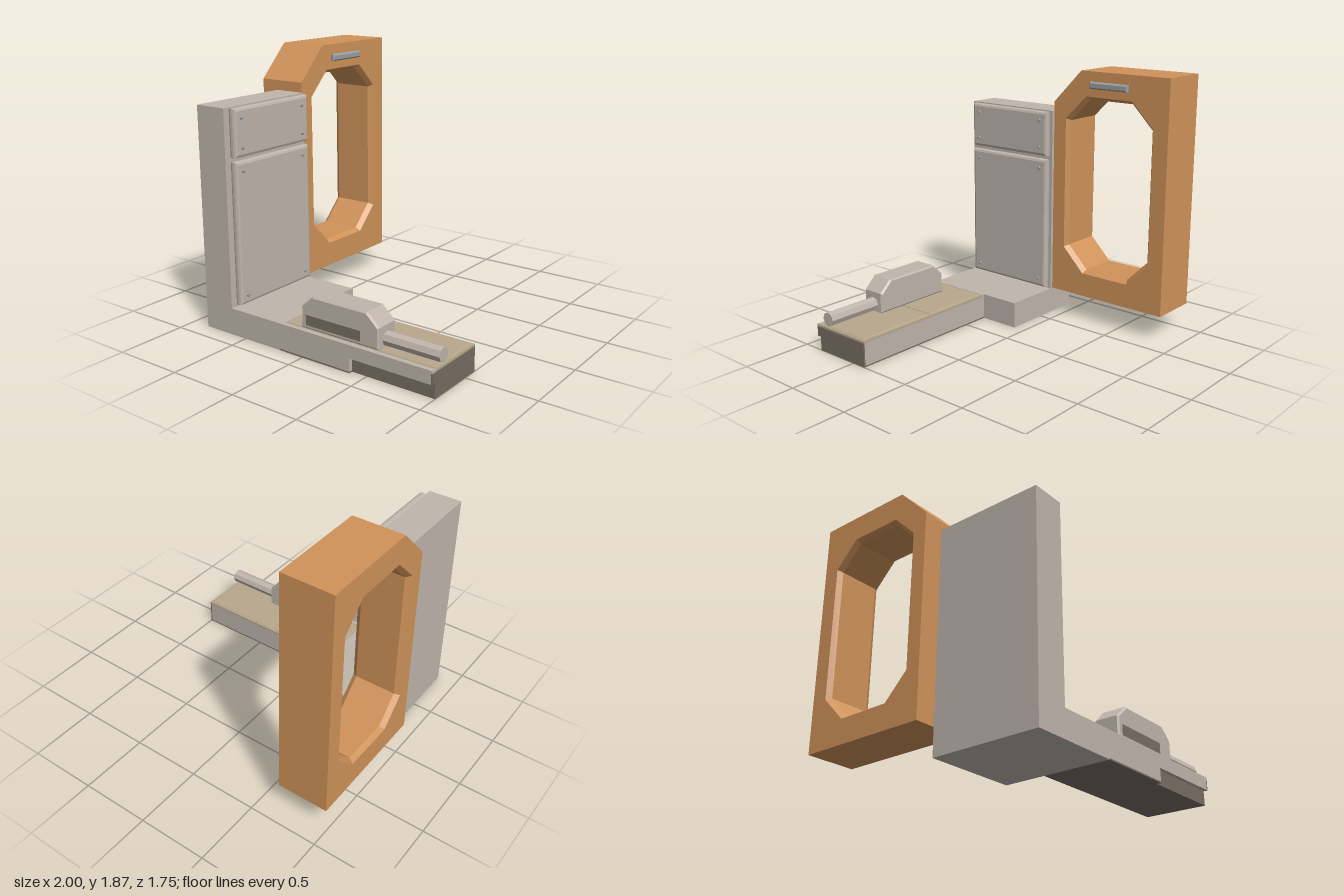
import * as THREE from 'three';

const paint = (color, side = THREE.FrontSide) =>
  new THREE.MeshStandardMaterial({ color, side, flatShading: true });

const polygon = (pts) => new THREE.Shape(pts.map(([x, y]) => new THREE.Vector2(x, y)));

// Straight-walled prism, extruded along z and centred on its depth
function prism(pts, depth, bevel = 0, segments = 1) {
  const geo = new THREE.ExtrudeGeometry(polygon(pts), {
    depth: depth - 2 * bevel, bevelEnabled: bevel > 0, bevelSize: bevel,
    bevelThickness: bevel, bevelOffset: -bevel, bevelSegments: segments,
  });
  return geo.translate(0, 0, bevel - depth / 2);
}

// Rectangle plate with bevelled edges, facing +z
const plate = (w, h, d, bevel, segments) => prism(
  [[-w / 2, -h / 2], [w / 2, -h / 2], [w / 2, h / 2], [-w / 2, h / 2]], d, bevel, segments);

// Flat-shaded strip through matching loops of [u, y] points, u = -z
function loft(rings) {
  const pos = [];
  for (let r = 0; r + 1 < rings.length; r++) {
    const [a, xa] = rings[r], [b, xb] = rings[r + 1];
    for (let i = 0; i < a.length; i++) {
      const j = (i + 1) % a.length;
      const p = [xa, a[i][1], -a[i][0]], q = [xa, a[j][1], -a[j][0]];
      const s = [xb, b[j][1], -b[j][0]], t = [xb, b[i][1], -b[i][0]];
      pos.push(...p, ...q, ...s, ...p, ...s, ...t);
    }
  }
  const geo = new THREE.BufferGeometry();
  geo.setAttribute('position', new THREE.Float32BufferAttribute(pos, 3));
  geo.computeVertexNormals();
  return geo;
}

// Octagon with cut corners, counter-clockwise
const octagon = (u0, u1, y0, y1, c) => [
  [u0 + c, y0], [u1 - c, y0], [u1, y0 + c], [u1, y1 - c],
  [u1 - c, y1], [u0 + c, y1], [u0, y1 - c], [u0, y0 + c]];

export function createModel() {
  const model = new THREE.Group();
  const grey = paint(0xbfb5ac), dark = paint(0x786e63), tan = paint(0xb7a78c);
  const steel = paint(0x9a9fa2), orange = paint(0xd0935a, THREE.DoubleSide);

  const add = (name, geo, mat, x = 0, y = 0, z = 0, parent = model) => {
    const mesh = new THREE.Mesh(geo, mat);
    mesh.name = name;
    mesh.position.set(x, y, z);
    parent.add(mesh);
    return mesh;
  };
  // Box given by its limits
  const block = (name, mat, x0, x1, y0, y1, z0, z1) => add(name,
    new THREE.BoxGeometry(x1 - x0, y1 - y0, z1 - z0), mat,
    (x0 + x1) / 2, (y0 + y1) / 2, (z0 + z1) / 2);

  // Upright column and foot in one L-shaped piece
  add('columnAndFoot', prism([[-0.86, 0], [-0.19, 0], [-0.19, 0.19], [-0.62, 0.19],
    [-0.62, 1.56], [-0.86, 1.56]], 0.78), grey, 0, 0, 0.48);

  // Arm with a notch under its outer front edge
  block('armInner', grey, -0.19, 0.385, 0.01, 0.172, 0.39, 0.87);
  block('armOuterUpper', grey, 0.385, 0.99, 0.1, 0.172, 0.39, 0.87);
  block('armOuterLower', grey, 0.385, 0.99, 0.01, 0.1, 0.39, 0.83);
  block('armFrontLip', grey, -0.19, 1, 0.172, 0.19, 0.838, 0.87);
  block('armRootLip', grey, -0.19, -0.168, 0.172, 0.19, 0.39, 0.838);
  block('armNotchWall', dark, 0.385, 1, 0, 0.1, 0.83, 0.84);
  block('armEndUpper', dark, 0.99, 1, 0.1, 0.172, 0.39, 0.87);
  block('armEndLower', dark, 0.99, 1, 0, 0.1, 0.39, 0.83);
  block('armUndersideInner', dark, -0.19, 0.385, 0, 0.01, 0.39, 0.87);
  block('armUndersideOuter', dark, 0.385, 0.99, 0, 0.01, 0.39, 0.83);

  // Two tan deck plates on the arm
  for (const [x0, x1] of [[-0.168, 0.385], [0.385, 1]]) {
    block('deckPlate', tan, x0, x1, 0.172, 0.187, 0.39, 0.838);
    add('deckInset', plate(x1 - x0 - 0.03, 0.42, 0.016, 0.006).rotateX(-Math.PI / 2),
      tan, (x0 + x1) / 2, 0.187, 0.614);
  }

  // Carriage with cut shoulders, side slot and eight-sided rod
  add('carriage', prism([[-0.025, 0.193], [0.59, 0.193], [0.59, 0.34], [0.5, 0.425],
    [0.07, 0.425], [-0.025, 0.34]], 0.18, 0.012), grey, 0, 0, 0.75);
  block('carriageSlot', dark, 0.015, 0.45, 0.22, 0.29, 0.82, 0.842);
  add('rod', new THREE.CylinderGeometry(0.05, 0.05, 0.42, 8).rotateZ(Math.PI / 2),
    grey, 0.79, 0.25, 0.75);

  // Column cover panels with corner screws
  for (const [name, y0, y1] of [['lowerPanel', 0.205, 1.2], ['upperPanel', 1.225, 1.555]]) {
    const panel = new THREE.Group();
    panel.name = name;
    model.add(panel);
    add('cover', plate(0.725, y1 - y0, 0.058, 0.02, 2).rotateY(Math.PI / 2),
      grey, -0.594, (y0 + y1) / 2, 0.467, panel);
    for (const z of [0.17, 0.765]) for (const y of [y0 + 0.065, y1 - 0.065])
      add('screw', new THREE.CylinderGeometry(0.01, 0.014, 0.012, 8).rotateZ(-Math.PI / 2),
        steel, -0.56, y, z, panel);
  }

  // Orange frame: cut upper corner and a chamfered octagonal opening
  const frame = new THREE.Group();
  frame.name = 'frame';
  model.add(frame);
  const xBack = -1, xFront = -0.635, chamfer = 0.035;
  const outline = [[-0.085, 0.195], [0.875, 0.195], [0.875, 1.87], [0.15, 1.87], [-0.085, 1.63]];
  const mouth = octagon(0.02, 0.757, 0.37, 1.69, 0.175);
  const throat = octagon(0.044, 0.733, 0.394, 1.666, 0.165);
  const face = polygon(outline);
  face.holes.push(polygon(mouth));
  for (const [name, x] of [['frameFrontFace', xFront], ['frameBackFace', xBack]]) {
    const geo = new THREE.ShapeGeometry(face).rotateY(Math.PI / 2);
    if (x === xBack) { // turn the far face outward
      geo.index.array.reverse();
      geo.computeVertexNormals();
    }
    add(name, geo, orange, x, 0, 0, frame);
  }
  add('frameOuterWall', loft([[outline, xBack], [outline, xFront]]), orange, 0, 0, 0, frame);
  add('frameOpening', loft([[mouth, xFront], [throat, xFront - chamfer],
    [throat, xBack + chamfer], [mouth, xBack]]), orange, 0, 0, 0, frame);

  // Bar handle on the frame
  add('handle', plate(0.315, 0.05, 0.036, 0.01).rotateY(Math.PI / 2), steel, -0.62, 1.775, -0.398);

  return model;
}
